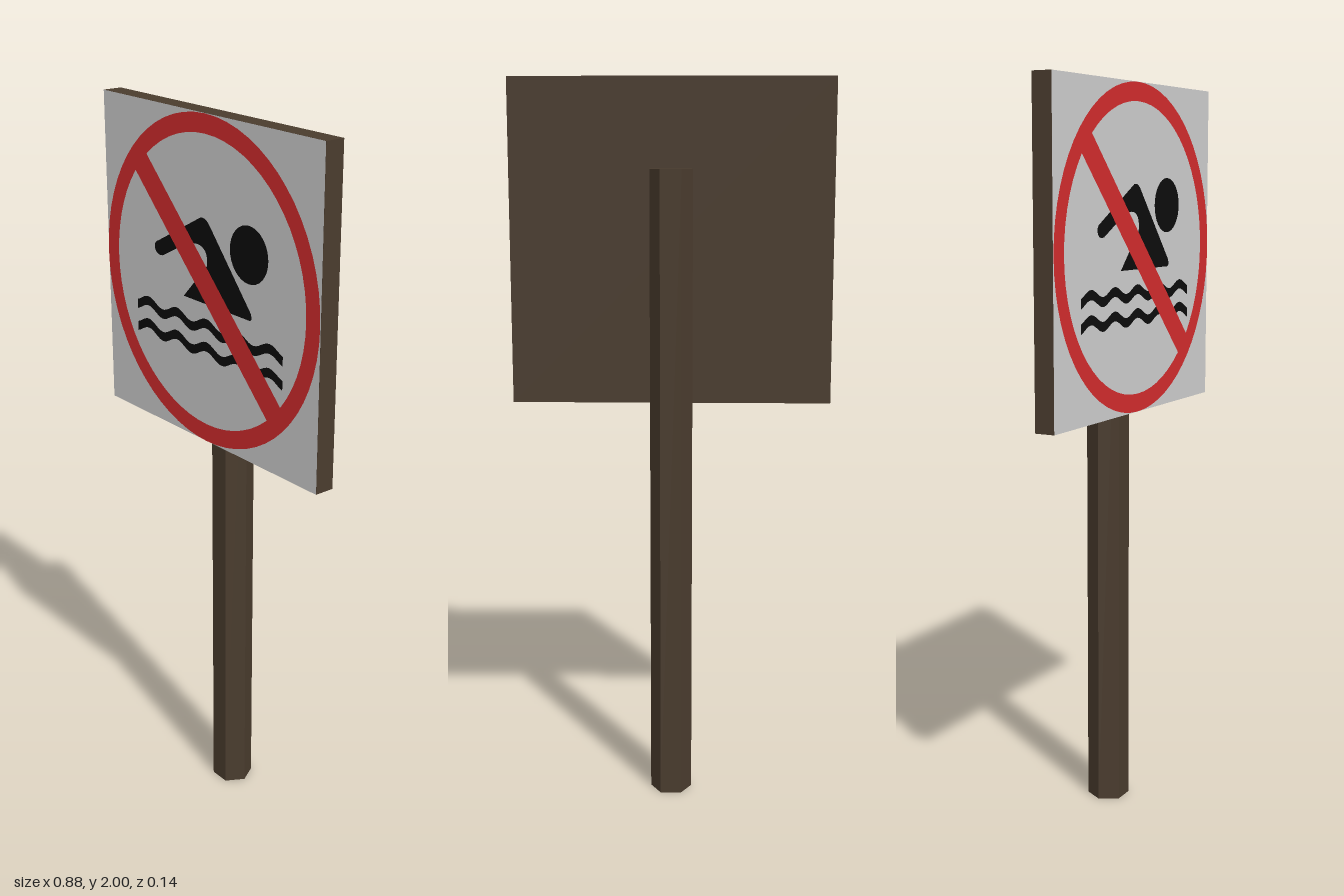
import * as THREE from 'three';

const mat = (name, color) => {
  const m = new THREE.MeshStandardMaterial({ color });
  m.name = name;
  return m;
};

export function createModel() {
  const wood = mat('dark wood', 0x4a3c2e);
  const white = mat('sign white', 0xd0d0d0);
  const red = mat('sign red', 0xd42c2e);
  const black = mat('sign black', 0x0c0c0c);

  const model = new THREE.Group();
  model.name = 'noSwimmingSign';
  const add = (name, geometry, material, x, y, z, parent = model) => {
    const mesh = new THREE.Mesh(geometry, material);
    mesh.name = name;
    mesh.position.set(x, y, z);
    parent.add(mesh);
    return mesh;
  };

  // Hexagonal post, corners pointing sideways
  const postGeo = new THREE.CylinderGeometry(0.058, 0.058, 1.76, 6).toNonIndexed();
  postGeo.rotateY(Math.PI / 6);
  postGeo.computeVertexNormals();
  add('post', postGeo, wood, 0, 0.88, -0.022);

  // Square board with a painted front
  const size = 0.876;
  add('board', new THREE.BoxGeometry(size, size, 0.055), wood, 0, 1.562, 0.0405);
  const face = new THREE.Group();
  face.name = 'signFace';
  face.position.set(0, 1.562, 0.0685);
  model.add(face);
  add('panel', new THREE.PlaneGeometry(size, size), white, 0, 0, 0, face);

  // Swimmer: head, then arm and body in one silhouette
  add('swimmerHead', new THREE.CircleGeometry(0.074, 32), black, 0.172, 0.117, 0.001, face);
  const body = new THREE.Shape();
  body.moveTo(-0.205, 0.075);
  body.lineTo(-0.02, 0.174);
  body.quadraticCurveTo(0, 0.178, 0.016, 0.16);
  body.lineTo(0.18, -0.03);
  body.quadraticCurveTo(0.19, -0.05, 0.175, -0.051);
  body.lineTo(-0.095, -0.051);
  body.lineTo(0.005, 0.052);
  body.quadraticCurveTo(0.012, 0.1, -0.035, 0.102);
  body.quadraticCurveTo(-0.07, 0.1, -0.09, 0.088);
  body.lineTo(-0.185, 0.039);
  body.quadraticCurveTo(-0.215, 0.033, -0.22, 0.055);
  body.quadraticCurveTo(-0.22, 0.07, -0.205, 0.075);
  add('swimmerBody', new THREE.ShapeGeometry(body, 8), black, 0, 0, 0.001, face);

  // Two rippling water lines
  const waveEdge = (offset) => Array.from({ length: 61 }, (_, i) => {
    const x = -0.305 + (0.61 * i) / 60;
    return new THREE.Vector2(x, 0.011 * Math.cos((x / 0.127) * Math.PI * 2) + offset);
  });
  const wave = new THREE.Shape([...waveEdge(-0.013), ...waveEdge(0.013).reverse()]);
  for (const y of [-0.115, -0.179]) {
    add('waterLine', new THREE.ShapeGeometry(wave), black, 0, y, 0.001, face);
  }

  // Red prohibition ring and diagonal bar
  add('ring', new THREE.RingGeometry(0.388, 0.4375, 64), red, 0, 0, 0.0015, face);
  const bar = add('slash', new THREE.PlaneGeometry(0.8, 0.072), red, 0, 0, 0.0015, face);
  bar.rotation.z = -Math.PI / 4;

  return model;
}
